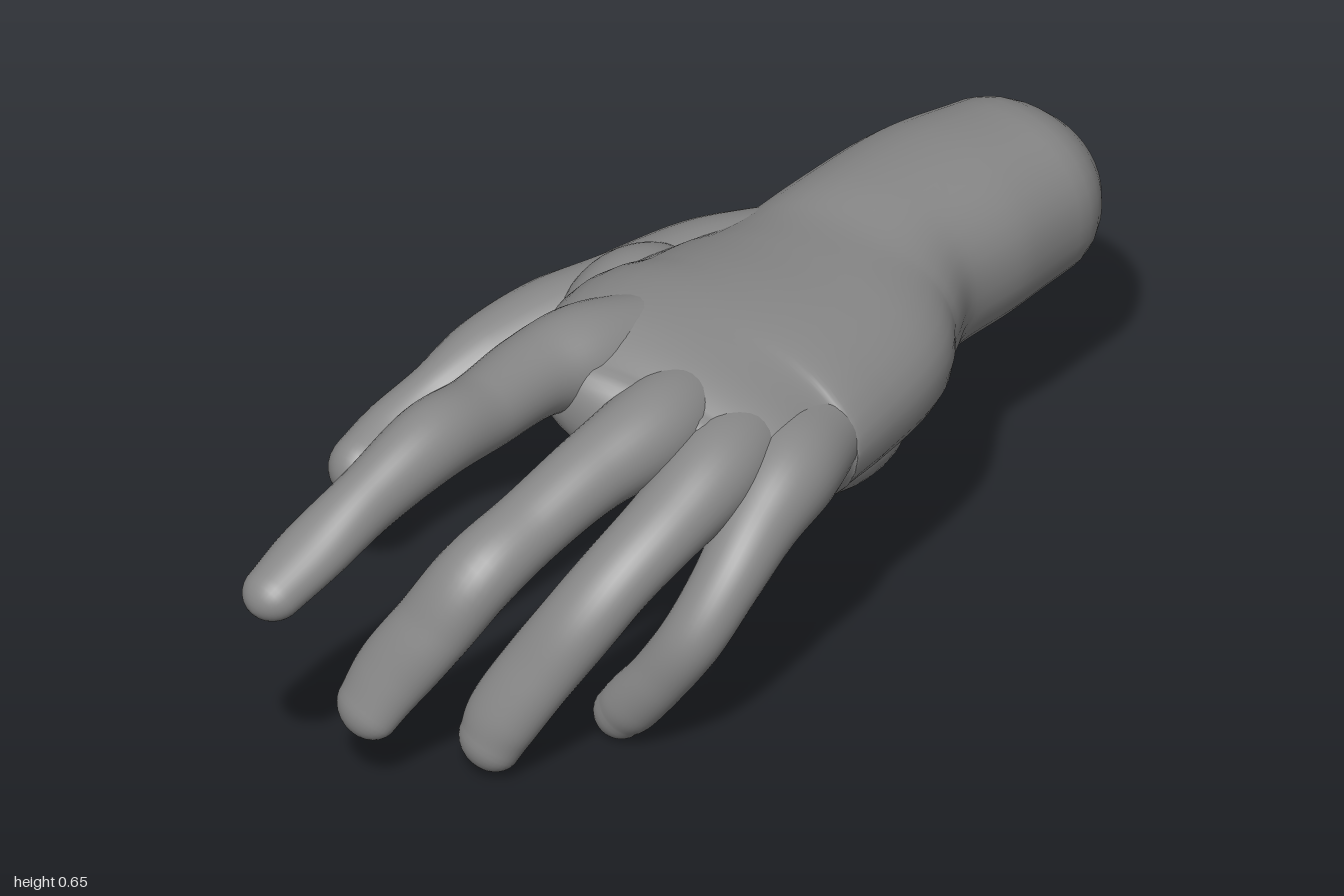
import * as THREE from 'three';

const skin = new THREE.MeshStandardMaterial({ color: 0x888888 });
skin.name = 'clayGrey';

// Sweep an oval section along stations [x, y, z, halfWidth, halfHeight, roll],
// closing both ends with rounded caps of the given lengths.
function loft(name, stations, capStart, capEnd, power = 1, steps = 8, sides = 36) {
  const path = new THREE.CatmullRomCurve3(
    stations.map(s => new THREE.Vector3(s[0], s[1], s[2])), false, 'catmullrom', 0.5);
  const size = new THREE.CatmullRomCurve3(
    stations.map(s => new THREE.Vector3(s[3], s[4], s[5] || 0)), false, 'catmullrom', 0.5);
  const positions = [], index = [];
  let rings = 0;

  function ring(t, scale, shift) {
    const tangent = path.getTangent(t);
    const side = new THREE.Vector3(1, 0, 0).addScaledVector(tangent, -tangent.x).normalize();
    const up = new THREE.Vector3().crossVectors(tangent, side);
    const r = size.getPoint(t);
    side.applyAxisAngle(tangent, r.z);
    up.applyAxisAngle(tangent, r.z);
    const centre = path.getPoint(t).addScaledVector(tangent, shift);
    for (let j = 0; j < sides; j++) {
      const a = j / sides * Math.PI * 2, c = Math.cos(a), s = Math.sin(a);
      const p = centre.clone()
        .addScaledVector(side, Math.sign(c) * Math.abs(c) ** power * r.x * scale)
        .addScaledVector(up, Math.sign(s) * Math.abs(s) ** power * r.y * scale);
      positions.push(p.x, p.y, p.z);
    }
    rings++;
  }

  const capSteps = 8, n = (stations.length - 1) * steps;
  for (let i = 0; i < capSteps; i++) {
    const a = i / capSteps * Math.PI / 2;
    ring(0, Math.sin(a), -capStart * Math.cos(a));
  }
  for (let i = 0; i <= n; i++) ring(i / n, 1, 0);
  for (let i = capSteps - 1; i >= 0; i--) {
    const a = i / capSteps * Math.PI / 2;
    ring(1, Math.sin(a), capEnd * Math.cos(a));
  }
  for (let i = 0; i < rings - 1; i++) {
    for (let j = 0; j < sides; j++) {
      const k = (j + 1) % sides;
      const a = i * sides + j, b = i * sides + k, c = a + sides, d = b + sides;
      index.push(a, b, c, b, d, c);
    }
  }
  const geometry = new THREE.BufferGeometry();
  geometry.setAttribute('position', new THREE.Float32BufferAttribute(positions, 3));
  geometry.setIndex(index);
  geometry.computeVertexNormals();
  const mesh = new THREE.Mesh(geometry, skin);
  mesh.name = name;
  return mesh;
}

function pad(name, position, radii, roll = 0) {
  const mesh = new THREE.Mesh(new THREE.SphereGeometry(1, 40, 28), skin);
  mesh.name = name;
  mesh.position.set(...position);
  mesh.scale.set(...radii);
  mesh.rotation.z = roll;
  return mesh;
}

export function createModel() {
  const hand = new THREE.Group();
  hand.name = 'hand';

  // Rounded wrist stump widening into the back of the hand
  hand.add(loft('wristAndPalm', [
    [0.055, 0.395, -0.85, 0.180, 0.152],
    [0.042, 0.400, -0.70, 0.200, 0.163],
    [0.042, 0.405, -0.52, 0.202, 0.165],
    [0.065, 0.410, -0.38, 0.235, 0.155],
    [0.095, 0.425, -0.25, 0.275, 0.152, -0.05],
    [0.115, 0.445, -0.10, 0.285, 0.150, -0.15],
    [0.125, 0.462, 0.02, 0.290, 0.140, -0.25],
    [0.155, 0.470, 0.12, 0.275, 0.120, -0.32],
    [0.175, 0.465, 0.20, 0.240, 0.095, -0.36],
  ], 0.15, 0.07, 0.92));

  // Fleshy pads under the palm
  hand.add(pad('palmHeel', [0.12, 0.32, -0.2], [0.2, 0.135, 0.21], -0.05));
  hand.add(pad('thumbPad', [-0.06, 0.31, -0.2], [0.17, 0.148, 0.2]));
  hand.add(pad('thumbWeb', [-0.14, 0.42, -0.12], [0.12, 0.13, 0.16]));

  // Thumb, growing out of the wrist
  hand.add(loft('thumb', [
    [-0.02, 0.41, -0.46, 0.110, 0.120],
    [-0.10, 0.385, -0.30, 0.150, 0.150],
    [-0.18, 0.370, -0.16, 0.140, 0.140],
    [-0.26, 0.370, -0.05, 0.112, 0.110],
    [-0.325, 0.345, 0.04, 0.084, 0.084],
    [-0.365, 0.305, 0.13, 0.060, 0.066],
    [-0.388, 0.270, 0.22, 0.058, 0.062],
    [-0.390, 0.248, 0.30, 0.056, 0.058],
  ], 0.08, 0.06));

  // Fingers from knuckle to tip
  const fingers = {
    indexFinger: [
      [0.03, 0.530, 0.02, 0.080, 0.080],
      [-0.01, 0.555, 0.18, 0.092, 0.088],
      [-0.03, 0.565, 0.30, 0.078, 0.072],
      [-0.022, 0.570, 0.45, 0.070, 0.066],
      [-0.018, 0.580, 0.59, 0.068, 0.070],
      [-0.035, 0.535, 0.73, 0.058, 0.060],
      [-0.058, 0.480, 0.85, 0.062, 0.050],
      [-0.070, 0.440, 0.94, 0.054, 0.044],
    ],
    middleFinger: [
      [0.14, 0.500, 0.06, 0.080, 0.070],
      [0.17, 0.505, 0.22, 0.085, 0.082],
      [0.152, 0.480, 0.37, 0.072, 0.068],
      [0.130, 0.435, 0.50, 0.068, 0.062],
      [0.108, 0.385, 0.62, 0.072, 0.064],
      [0.060, 0.290, 0.685, 0.072, 0.052],
      [0.010, 0.205, 0.725, 0.070, 0.047],
      [-0.015, 0.145, 0.755, 0.062, 0.040],
    ],
    ringFinger: [
      [0.24, 0.460, 0.04, 0.085, 0.070],
      [0.28, 0.455, 0.19, 0.085, 0.080],
      [0.282, 0.415, 0.32, 0.074, 0.066],
      [0.262, 0.355, 0.43, 0.070, 0.060],
      [0.232, 0.285, 0.50, 0.070, 0.058],
      [0.182, 0.190, 0.555, 0.070, 0.050],
      [0.142, 0.110, 0.590, 0.068, 0.048],
      [0.125, 0.062, 0.605, 0.060, 0.044],
    ],
    littleFinger: [
      [0.31, 0.430, -0.03, 0.085, 0.075],
      [0.355, 0.425, 0.10, 0.085, 0.082],
      [0.372, 0.385, 0.20, 0.070, 0.068],
      [0.378, 0.320, 0.29, 0.060, 0.056],
      [0.358, 0.235, 0.355, 0.056, 0.050],
      [0.305, 0.145, 0.380, 0.052, 0.044],
      [0.255, 0.080, 0.388, 0.052, 0.042],
      [0.228, 0.050, 0.388, 0.047, 0.038],
    ],
  };
  for (const [name, stations] of Object.entries(fingers)) {
    hand.add(loft(name, stations, 0.06, 0.052));
  }
  return hand;
}
